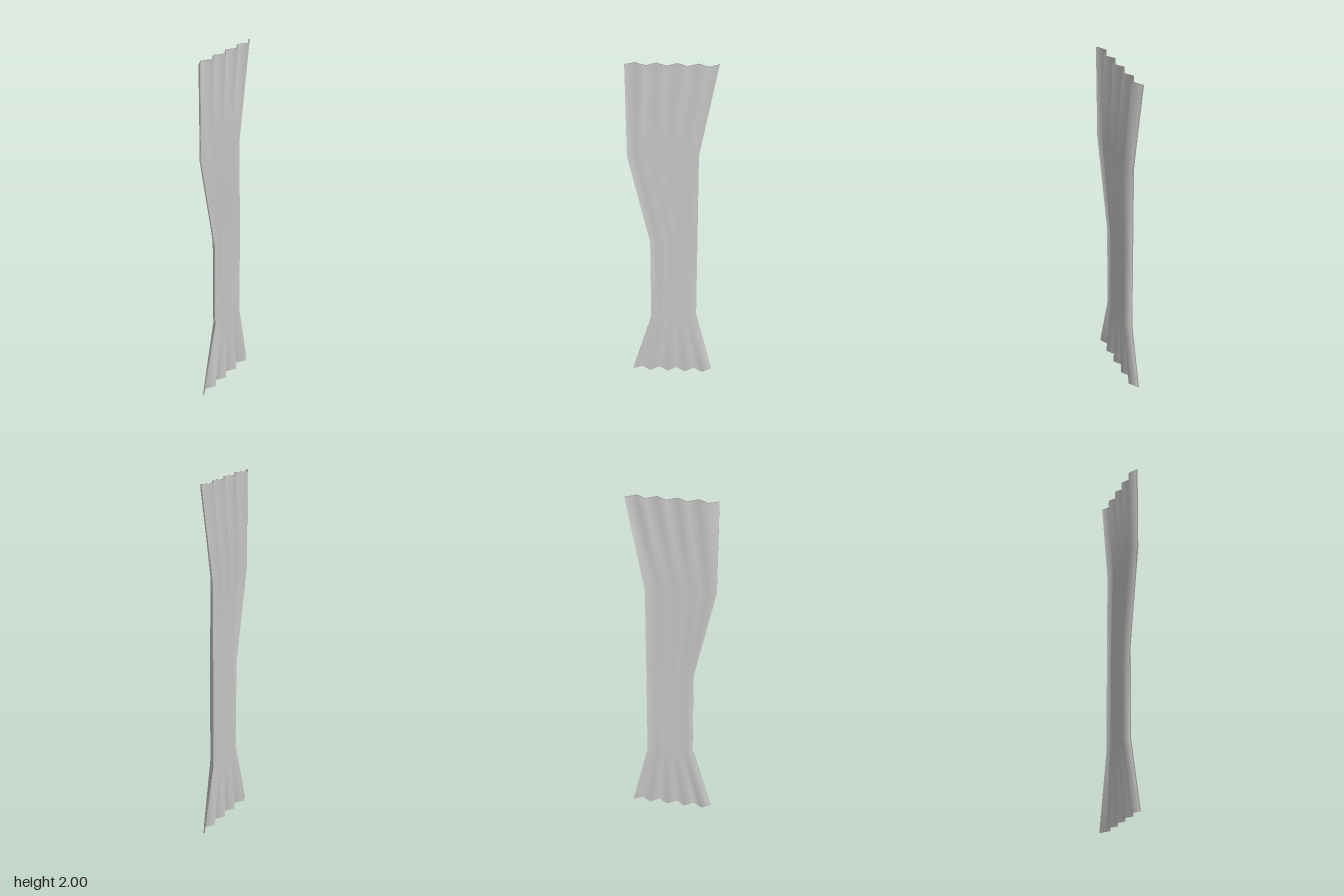
import * as THREE from 'three';

// A thin pleated curtain, gathered in the middle and fanned out at both ends.
const PLEATS = 10;          // fold lines across the width
const DEPTH = 0.017;        // half depth of the folds
const HALF_THICK = 0.004;   // half thickness of the cloth

// Height and the two edges (back z, front z) of the cloth at each level
const LEVELS = [
  [0, -0.235, 0.235],
  [0.41, -0.14, 0.12],
  [0.94, -0.14, 0.12],
  [1.48, -0.14, 0.235],
  [2, -0.235, 0.235],
];

function pleatedCloth() {
  const ring = PLEATS * 2;
  const positions = [];
  const index = [];
  const quad = (a, b, c, d) => index.push(a, b, c, a, c, d);

  // Each ring runs forward along the +x face and returns along the -x face
  for (const [y, back, front] of LEVELS) {
    for (let k = 0; k < ring; k++) {
      const i = k < PLEATS ? k : ring - 1 - k;
      const side = k < PLEATS ? HALF_THICK : -HALF_THICK;
      const fold = i === PLEATS - 1 ? 0.01 : (i % 2 ? DEPTH : -DEPTH);
      positions.push(fold + side, y, THREE.MathUtils.lerp(back, front, i / (PLEATS - 1)));
    }
  }

  // Faces and side hems
  for (let l = 0; l < LEVELS.length - 1; l++) {
    for (let k = 0; k < ring; k++) {
      const a = l * ring + k;
      const b = l * ring + (k + 1) % ring;
      quad(a, a + ring, b + ring, b);
    }
  }

  // Bottom and top hems
  const top = (LEVELS.length - 1) * ring;
  for (let i = 0; i < PLEATS - 1; i++) {
    const j = ring - 1 - i;
    quad(top + i, top + j, top + j - 1, top + i + 1);
    quad(i, i + 1, j - 1, j);
  }

  // Shared vertices give soft shading over the folds and hems
  const geometry = new THREE.BufferGeometry();
  geometry.setAttribute('position', new THREE.Float32BufferAttribute(positions, 3));
  geometry.setIndex(index);
  geometry.computeVertexNormals();
  return geometry;
}

export function createModel() {
  const group = new THREE.Group();
  group.name = 'curtain';
  const cloth = new THREE.Mesh(
    pleatedCloth(),
    new THREE.MeshStandardMaterial({ color: 0xcccccc }),
  );
  cloth.name = 'pleatedCloth';
  group.add(cloth);
  return group;
}
